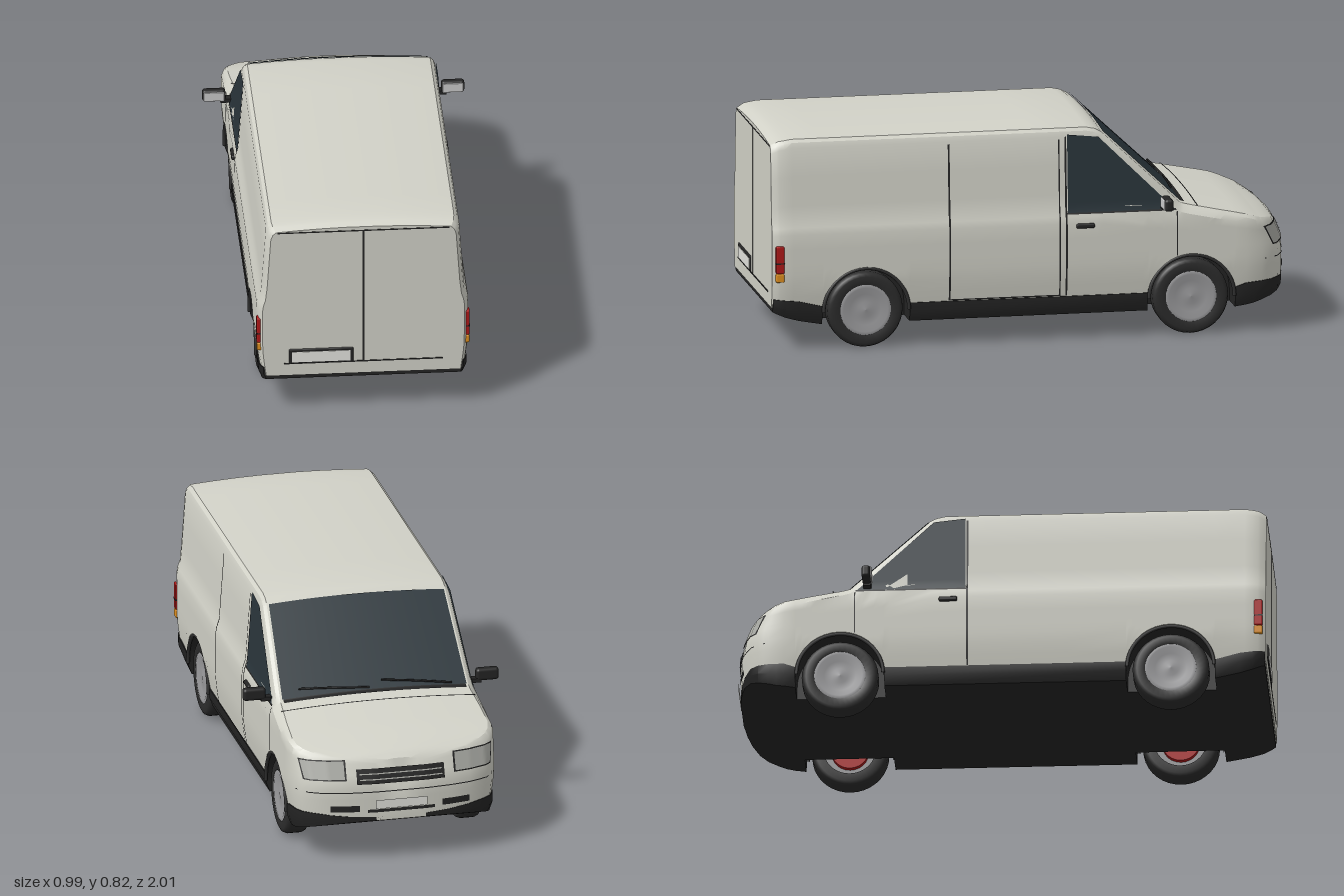
import * as THREE from 'three';
import { toCreasedNormals } from 'three/addons/utils/BufferGeometryUtils.js';
import { RoundedBoxGeometry } from 'three/addons/geometries/RoundedBoxGeometry.js';

const mat = (color, side = THREE.FrontSide) => new THREE.MeshStandardMaterial({ color, side });
const PAINT = mat(0xd2d2c8), BLACK = mat(0x242424), RUBBER = mat(0x2c2c2c), GREY = mat(0xcccccc);
const RED = mat(0xb01818), AMBER = mat(0xe09020), HUB = mat(0x9c9c9e), LIP = mat(0x303030);
const GLASS = mat(0x2a353b, THREE.DoubleSide), DARK = mat(0x242424, THREE.DoubleSide);
const LAMP = mat(0xa9aaa4, THREE.DoubleSide), PLATE = mat(0xe4e4de, THREE.DoubleSide);

// piecewise linear lookup in [key, value] pairs
function lerpTable(t, k) {
  if (k <= t[0][0]) return t[0][1];
  for (let i = 1; i < t.length; i++) {
    if (k <= t[i][0]) {
      return t[i - 1][1] + (t[i][1] - t[i - 1][1]) * (k - t[i - 1][0]) / (t[i][0] - t[i - 1][0]);
    }
  }
  return t[t.length - 1][1];
}

// body rules: roofline, side profile and plan taper; the nose points to -z
const TOP = [[-1, 0.385], [-0.985, 0.405], [-0.95, 0.425], [-0.9, 0.438], [-0.75, 0.468], [-0.6, 0.498],
  [-0.57, 0.506], [-0.27, 0.788], [-0.245, 0.801], [-0.21, 0.808], [0.92, 0.808], [0.97, 0.8], [1, 0.785]];
const WIDTH = [[0.1, 0.375], [0.2, 0.39], [0.27, 0.399], [0.45, 0.4], [0.475, 0.395], [0.5, 0.385], [0.8, 0.364]];
const PLAN = [[-1, 0.25], [-0.99, 0.5], [-0.975, 0.69], [-0.95, 0.85], [-0.92, 0.93], [-0.88, 0.975],
  [-0.82, 1], [0.95, 1], [0.98, 0.985], [1, 0.955]];
const AXLES = [-0.61, 0.64], AXLE_Y = 0.145, ARCH = 0.17, SILL = 0.165;
const halfWidth = (y, z) => lerpTable(WIDTH, y) * lerpTable(PLAN, z);
const lean = (y, z) => Math.max(0, y - 0.32) * 0.4 * THREE.MathUtils.smoothstep(-z, 0.8, 0.96);
const topY = (x, z) => {
  const t = lerpTable(TOP, z);
  return t + 0.015 * (1 - (x / halfWidth(t, z)) ** 2);
};
const NOSE = PLAN.slice(0, 7).map(([z, s]) => [s, z]);
const noseZ = (x, y) => {
  const z = lerpTable(NOSE, Math.abs(x) / lerpTable(WIDTH, y));
  return z + lean(y, z);
};

// closed loft through rings that run from +x bottom over the top to -x bottom
function loft(rings) {
  const n = rings[0].length, pos = rings.flat(2), idx = [];
  for (let i = 0; i < rings.length - 1; i++) {
    for (let j = 0; j < n; j++) {
      const k = (j + 1) % n, a = i * n + j, b = i * n + k;
      idx.push(a, b, a + n, b, b + n, a + n);
    }
  }
  [0, rings.length - 1].forEach((r, end) => {
    const ys = rings[r].map((p) => p[1]), c = pos.length / 3;
    pos.push(0, (Math.min(...ys) + Math.max(...ys)) / 2, rings[r][0][2]);
    for (let j = 0; j < n; j++) {
      const a = r * n + j, b = r * n + (j + 1) % n;
      idx.push(c, end ? a : b, end ? b : a);
    }
  });
  const g = new THREE.BufferGeometry();
  g.setAttribute('position', new THREE.Float32BufferAttribute(pos, 3));
  g.setIndex(idx);
  return toCreasedNormals(g, 0.5);
}
const mirrorRing = (half) => [...half, ...half.slice().reverse().map(([x, y, z]) => [-x, y, z])];

function bodyGeometry() {
  const zs = [...TOP, ...PLAN].map((p) => p[0]).concat([-0.42, 0, 0.25]);
  const chord = Math.sqrt(ARCH ** 2 - (SILL - AXLE_Y) ** 2);
  for (const c of AXLES) for (let i = 0; i <= 18; i++) zs.push(c - chord * Math.cos(i * Math.PI / 18));
  const stations = [...new Set(zs.map((z) => +z.toFixed(4)))].sort((a, b) => a - b);
  return loft(stations.map((z) => {
    let lo = SILL;
    for (const c of AXLES) {
      if (Math.abs(z - c) < ARCH) lo = Math.max(lo, AXLE_Y + Math.sqrt(ARCH ** 2 - (z - c) ** 2));
    }
    const T = lerpTable(TOP, z), hw = halfWidth(T, z), half = [];
    for (const f of [0, 0.25, 0.5, 0.75]) half.push(lo + f * (0.34 - lo));
    for (const f of [0, 0.12, 0.25, 0.31, 0.365, 0.5, 0.75, 1]) half.push(0.34 + f * (T - 0.03 - 0.34));
    const pts = half.map((y) => [halfWidth(y, z), y]);
    pts.push([hw * 0.985, T - 0.01]);
    for (const f of [0.95, 0.9, 0.7, 0.45, 0.2]) pts.push([hw * f, topY(hw * f, z)]);
    return mirrorRing(pts.map(([x, y]) => [x, y, z + lean(y, z)]));
  }));
}

// black skirt and floor, narrow between the wheels
function skirtGeometry() {
  const low = [[-1, 0.165], [-0.93, 0.135], [-0.85, 0.11], [-0.78, 0.098], [0.8, 0.095], [0.93, 0.12], [1, 0.15]];
  const high = [[-1, 0.18], [-0.96, 0.2], [-0.79, 0.19], [-0.77, 0.168], [0.82, 0.168], [0.84, 0.185], [0.99, 0.2]];
  const rows = [...PLAN, [-0.85], [0.9]].map(([z]) => [Math.min(z, 0.996), false]);
  for (const c of AXLES) {
    const a = c - 0.168, b = c + 0.168;
    rows.push([a - 1e-4, false], [a, true], [b, true], [b + 1e-4, false]);
  }
  rows.sort((p, q) => p[0] - q[0]);
  return loft(rows.map(([z, narrow]) => {
    const b = lerpTable(low, z), t = lerpTable(high, z), w = narrow ? 0.27 : halfWidth(t, z) + 0.004;
    return mirrorRing([[narrow ? w : w * 0.965, b, z], [w, (b + t) / 2, z], [w, t, z]]);
  }));
}

// thin surface from a rule (u, v) -> [x, y, z]
function patch(rule, nu = 8, nv = 4) {
  const g = new THREE.PlaneGeometry(1, 1, nu, nv), p = g.attributes.position;
  for (let i = 0; i < p.count; i++) p.setXYZ(i, ...rule(p.getX(i) + 0.5, p.getY(i) + 0.5));
  g.computeVertexNormals();
  return g;
}
// side surface between four [z, y] corners: rear low, front low, front high, rear high
const sidePatch = (s, [a, b, c, d], off = 0.003) => patch((u, v) => {
  const mix = (k) => (a[k] * (1 - u) + b[k] * u) * (1 - v) + (d[k] * (1 - u) + c[k] * u) * v;
  return [s * (halfWidth(mix(1), mix(0)) + off), mix(1), mix(0)];
}, 8, 16);
const sideSeam = (s, z, y0, y1, w = 0.007) => sidePatch(s, [[z + w / 2, y0], [z - w / 2, y0], [z - w / 2, y1], [z + w / 2, y1]]);
const nosePatch = (x0, x1, y0, y1, off = 0.004, taper = 0) => patch((u, v) => {
  const y = y0 + (y1 - y0) * v, x = x0 + (x1 - x0) * u - Math.sign(x0 + x1) * taper * (1 - v) * u;
  return [x, y, noseZ(x, y) - off];
}, 20, 4);
const topPatch = (k, z0, z1, off) => patch((u, v) => {
  const z = z0 + (z1 - z0) * v, x = (2 * u - 1) * k * halfWidth(lerpTable(TOP, z), z);
  return [x, topY(x, z) + off, z - off * 0.7];
}, 24, 8);

export function createModel() {
  const van = new THREE.Group();
  van.name = 'van';
  const add = (name, geo, m, x = 0, y = 0, z = 0, parent = van) => {
    const mesh = new THREE.Mesh(geo, m);
    mesh.name = name;
    mesh.position.set(x, y, z);
    parent.add(mesh);
    return mesh;
  };
  const box = (name, m, w, h, d, x, y, z) => add(name, new THREE.BoxGeometry(w, h, d), m, x, y, z);

  add('body', bodyGeometry(), PAINT);
  add('skirtAndFloor', skirtGeometry(), BLACK);

  // windscreen, cowl, wipers and bonnet seam
  add('windscreen', topPatch(0.93, -0.567, -0.275, 0.004), GLASS);
  add('cowl', topPatch(0.92, -0.585, -0.567, 0.004), DARK);
  add('bonnetSeam', topPatch(0.97, -0.636, -0.631, 0.002), DARK);
  for (const x0 of [-0.3, 0.02]) {
    const pts = [0, 0.5, 1].map((t) => {
      const x = x0 + 0.27 * t, z = -0.565 + 0.02 * t;
      return new THREE.Vector3(x, topY(x, z) + 0.01, z - 0.006);
    });
    add('wiper', new THREE.TubeGeometry(new THREE.CatmullRomCurve3(pts), 8, 0.004, 6), BLACK);
  }

  // nose: grille, number plate, bumper crease and slots
  add('grille', nosePatch(-0.17, 0.17, 0.315, 0.37), DARK);
  for (const y of [0.33, 0.35]) add('grilleBar', nosePatch(-0.16, 0.16, y, y + 0.004, 0.007), LAMP);
  add('bumperCrease', nosePatch(-0.385, 0.385, 0.28, 0.284, 0.003), DARK);
  add('frontPlate', nosePatch(-0.1, 0.1, 0.215, 0.25, 0.008), PLATE);
  add('bumperSlot', nosePatch(-0.13, 0.13, 0.2, 0.212), DARK);

  // rear doors: seams, plate and step
  box('rearDoorSeam', BLACK, 0.006, 0.57, 0.004, 0, 0.5, 1);
  box('rearDoorTop', BLACK, 0.65, 0.005, 0.004, 0, 0.783, 0.999);
  box('rearDoorSill', BLACK, 0.6, 0.005, 0.004, 0, 0.215, 1);
  add('plateFrame', new RoundedBoxGeometry(0.245, 0.062, 0.012, 2, 0.005), BLACK, -0.16, 0.246, 0.998);
  box('rearPlate', PLATE, 0.22, 0.044, 0.012, -0.16, 0.244, 1);

  for (const s of [1, -1]) {
    const side = s > 0 ? 'left' : 'right';
    add(side + 'Window', sidePatch(s, [[-0.135, 0.49], [-0.545, 0.49], [-0.255, 0.775], [-0.135, 0.788]], 0.004), GLASS);
    add(side + 'DoorRearSeam', sideSeam(s, -0.128, 0.17, 0.78), DARK);
    add(side + 'DoorFrontSeam', sideSeam(s, -0.553, 0.31, 0.48, 0.005), DARK);
    add(side + 'WindowSill', sidePatch(s, [[-0.13, 0.484], [-0.55, 0.484], [-0.55, 0.491], [-0.13, 0.491]]), DARK);
    add(side + 'DoorHandle', new RoundedBoxGeometry(0.016, 0.018, 0.07, 2, 0.006), BLACK, s * 0.403, 0.44, -0.2);
    add(side + 'Headlight', nosePatch(s * 0.215, s * 0.372, 0.335, 0.4, 0.005, 0.012), LAMP);
    add(side + 'HeadlightEdge', nosePatch(s * 0.208, s * 0.376, 0.33, 0.404, 0.003, 0.012), DARK);
    add(side + 'BumperVent', nosePatch(s * 0.16, s * 0.27, 0.205, 0.23), DARK);

    // tail light
    add(side + 'TailLight', new RoundedBoxGeometry(0.03, 0.105, 0.032, 2, 0.005), RED, s * 0.388, 0.355, 0.972);
    add(side + 'TurnSignal', new RoundedBoxGeometry(0.03, 0.033, 0.032, 2, 0.005), AMBER, s * 0.387, 0.285, 0.972);
    box(side + 'TailLightBand', BLACK, 0.032, 0.005, 0.033, s * 0.388, 0.342, 0.972);

    // door mirror
    box(side + 'MirrorArm', BLACK, 0.045, 0.016, 0.03, s * 0.405, 0.503, -0.505);
    add(side + 'Mirror', new RoundedBoxGeometry(0.088, 0.048, 0.034, 3, 0.012), BLACK, s * 0.452, 0.524, -0.505);
    add(side + 'MirrorGlass', new RoundedBoxGeometry(0.078, 0.038, 0.006, 2, 0.003), GREY, s * 0.452, 0.524, -0.488);
  }

  // sliding door on one side only
  add('slidingDoorRearSeam', sideSeam(1, 0.32, 0.17, 0.77), DARK);
  add('slidingDoorFrontSeam', sideSeam(1, -0.103, 0.17, 0.77, 0.005), DARK);
  add('slidingDoorSill', sidePatch(1, [[0.32, 0.17], [-0.1, 0.17], [-0.1, 0.175], [0.32, 0.175]]), DARK);

  // wheels with liners and arch lips
  const tyre = new THREE.LatheGeometry([[0.098, -0.045], [0.128, -0.045], [0.139, -0.039], [0.145, -0.026],
    [0.145, 0.026], [0.139, 0.039], [0.128, 0.045], [0.098, 0.045], [0.095, 0.036]]
    .map(([r, h]) => new THREE.Vector2(r, h)), 36).rotateZ(-Math.PI / 2);
  const cap = new THREE.LatheGeometry([[0.104, 0.034], [0.104, 0.042], [0.085, 0.045], [0.06, 0.037], [0.03, 0.037], [0, 0.042]]
    .map(([r, h]) => new THREE.Vector2(r, h)), 36).rotateZ(-Math.PI / 2);
  const liner = new THREE.CylinderGeometry(0.167, 0.167, 0.12, 28, 1, true, 0, Math.PI).rotateZ(Math.PI / 2);
  const wall = new THREE.CircleGeometry(0.167, 28, 0, Math.PI).rotateY(Math.PI / 2);
  const lip = new THREE.TorusGeometry(0.164, 0.007, 8, 32, Math.PI).rotateY(Math.PI / 2);
  const disc = new THREE.CylinderGeometry(0.07, 0.07, 0.02, 24).rotateZ(Math.PI / 2);
  const rim = new THREE.CylinderGeometry(0.1, 0.1, 0.04, 28).rotateZ(Math.PI / 2);
  for (const z of AXLES) {
    for (const s of [1, -1]) {
      const wheel = new THREE.Group();
      wheel.name = (z < 0 ? 'nose' : 'tail') + (s > 0 ? 'Left' : 'Right') + 'Wheel';
      wheel.position.set(s * 0.335, AXLE_Y, z);
      if (s < 0) wheel.rotation.y = Math.PI;
      van.add(wheel);
      const tyreMesh = add('tyre', tyre, RUBBER, 0, 0, 0, wheel);
      tyreMesh.material = mat(0x2c2c2c, THREE.DoubleSide);
      add('hubcap', cap, mat(HUB.color, THREE.DoubleSide), 0, 0, 0, wheel);
      add('rim', rim, HUB, 0.008, 0, 0, wheel);
      add('brakeDisc', disc, RED, -0.022, 0, 0, wheel);
      add('axleStub', new THREE.CylinderGeometry(0.02, 0.02, 0.08, 12).rotateZ(Math.PI / 2), BLACK, -0.05, 0, 0, wheel);
      const arch = new THREE.Group();
      arch.name = 'wheelArch';
      arch.position.set(0, AXLE_Y, z);
      van.add(arch);
      add('liner', liner, DARK, s * 0.33, 0, 0, arch);
      // the half cylinder must arch upward, so turn it about the axle
      add('innerWall', wall, DARK, s * 0.272, 0, 0, arch);
      add('archLip', lip, LIP, s * 0.392, 0, 0, arch);
    }
  }
  // turn liners so that their open half faces the ground
  van.traverse((o) => {
    if (o.name === 'liner') {
      o.geometry.computeBoundingBox();
      const b = o.geometry.boundingBox;
      if (b.max.y < 0.1) o.rotation.x = Math.PI;
    }
  });
  return van;
}
